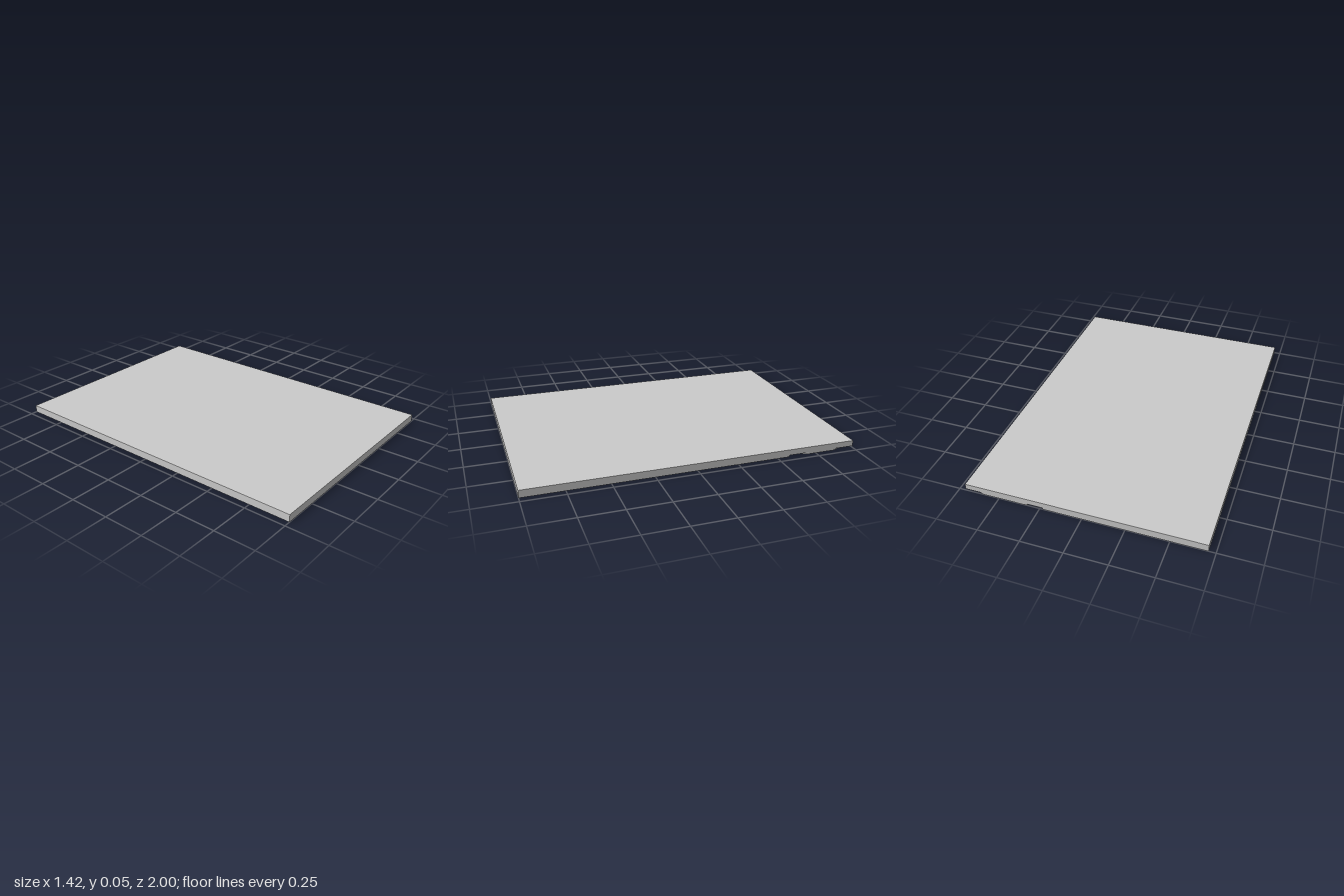
import * as THREE from 'three';

const W = 0.71, L = 1, H = 0.045, DEPTH = 0.01; // half width, half length, height, recess depth
const DIAL = { x: 0.47, z: -0.785, outer: 0.32, inner: 0.255, arc: 0.19 };

// Rectangular outline in plan, given centre and size
function rectPath(x, z, w, l) {
  return new THREE.Path([
    new THREE.Vector2(x - w / 2, z - l / 2), new THREE.Vector2(x + w / 2, z - l / 2),
    new THREE.Vector2(x + w / 2, z + l / 2), new THREE.Vector2(x - w / 2, z + l / 2),
  ]);
}

// Extrude a plan shape (x, z) from y = bottom up to y = top
function layer(shape, bottom, top) {
  const g = new THREE.ExtrudeGeometry(shape, { depth: top - bottom, bevelEnabled: false, curveSegments: 48 });
  g.rotateX(Math.PI / 2);
  g.translate(0, top, 0);
  return g;
}

export function createModel() {
  const group = new THREE.Group();
  const material = new THREE.MeshStandardMaterial({ color: 0xcccccc });
  const add = (name, geometry) => {
    const mesh = new THREE.Mesh(geometry, material);
    mesh.name = name;
    group.add(mesh);
  };

  // Solid upper slab
  const core = new THREE.BoxGeometry(2 * W, H - DEPTH, 2 * L);
  core.translate(0, (H + DEPTH) / 2, 0);
  add('slab', core);

  // Underside layer, with the round dial recess cut out of its corner
  const { x, z, outer, inner, arc } = DIAL;
  const dz = -L - z, dx = W - x;
  const start = Math.atan2(dz, -Math.sqrt(outer ** 2 - dz ** 2));
  const end = Math.atan2(Math.sqrt(outer ** 2 - dx ** 2), dx);
  const face = new THREE.Shape();
  face.moveTo(-W, -L);
  face.lineTo(x + outer * Math.cos(start), -L);
  face.absarc(x, z, outer, start, end, true);
  face.lineTo(W, L);
  face.lineTo(-W, L);
  face.closePath();

  // Window and slots in the underside
  face.holes.push(rectPath(-0.005, 0, 0.31, 0.68));
  const slots = [[0.15, 0.6, 0.22], [-0.56, 0.53, 0.22], [-0.25, 0.025, 0.23], [-0.56, -0.49, 0.23]];
  for (const [sx, sz, len] of slots) face.holes.push(rectPath(sx, sz, 0.02, len));
  for (let i = 0; i < 5; i++) face.holes.push(rectPath(-0.58, 0.22 - i * 0.1, 0.015, 0.06));
  add('underside', layer(face, 0, DEPTH));

  // Shallow panel sunk in the window
  add('windowPanel', layer(new THREE.Shape(rectPath(-0.005, 0, 0.31, 0.68).getPoints()), 0.004, DEPTH));

  // Dial disc, trimmed by the slab edges, with a curved groove facing the corner
  const rim = [];
  for (let i = 0; i < 96; i++) {
    const a = (i / 96) * Math.PI * 2;
    rim.push(new THREE.Vector2(Math.min(W, x + inner * Math.cos(a)), Math.max(-L, z + inner * Math.sin(a))));
  }
  const disc = new THREE.Shape(rim);
  const groove = new THREE.Path();
  const a0 = -2.13, a1 = 0.46;
  groove.absarc(x, z, arc + 0.005, a0, a1, false);
  groove.absarc(x, z, arc - 0.005, a1, a0, true);
  groove.closePath();
  disc.holes.push(groove);
  add('dial', layer(disc, 0, DEPTH));

  return group;
}
